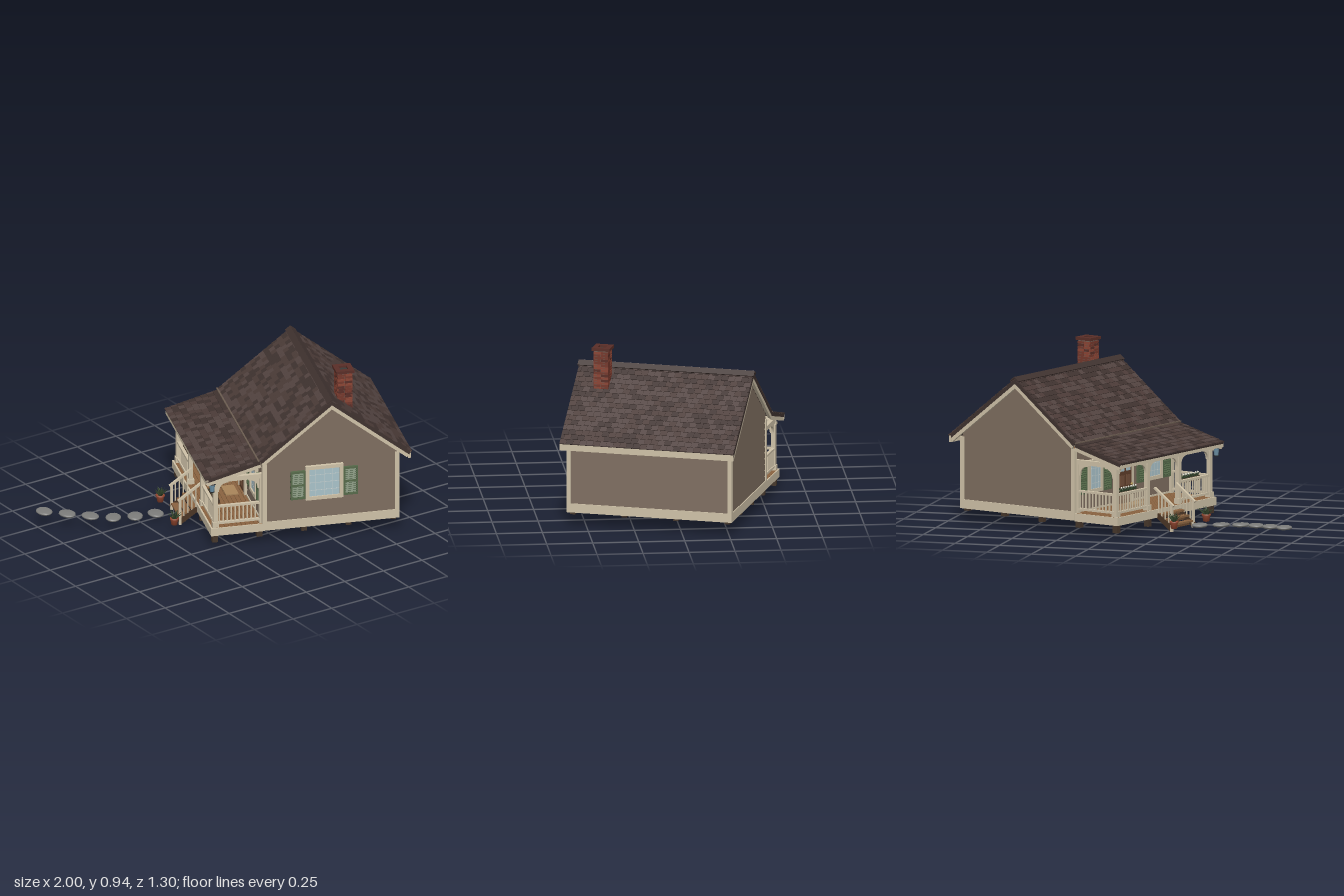
import * as THREE from 'three';
import { mergeGeometries } from 'three/addons/utils/BufferGeometryUtils.js';

const TRIM = 0xcfc2a8, SIDING = 0x7a6a5c, INSIDE = 0xa0714a, WOOD = 0x8a6340, GREEN = 0x566a4a, GLASS = 0xa9c3cb;
const SHINGLES = [0x4b3b37, 0x3f322f, 0x524340];
const BRICKS = [0x8c4535, 0x75382c, 0x5a2e27];
const mats = {};
const mat = c => mats[c] ??= new THREE.MeshStandardMaterial({ color: c });
let seed = 7;
const rand = () => (seed = (seed * 16807) % 2147483647) / 2147483647;

function add(parent, name, geo, color, x = 0, y = 0, z = 0) {
  const m = new THREE.Mesh(geo, mat(color));
  m.name = name;
  m.position.set(x, y, z);
  parent.add(m);
  return m;
}
const box = (p, name, c, w, h, d, x, y, z) => add(p, name, new THREE.BoxGeometry(w, h, d), c, x, y, z);
function group(parent, name, x = 0, y = 0, z = 0, ry = 0) {
  const g = new THREE.Group();
  g.name = name;
  g.position.set(x, y, z);
  g.rotation.y = ry;
  parent.add(g);
  return g;
}
// Sloped or level bar between two points of the parent's space
function bar(p, name, c, a, b, h, t) {
  const A = new THREE.Vector3(...a), B = new THREE.Vector3(...b), d = B.clone().sub(A), L = d.length();
  const m = box(p, name, c, t, h, L, 0, 0, 0);
  m.position.copy(A).lerp(B, 0.5);
  m.rotation.set(-Math.asin(d.y / L), Math.atan2(d.x, d.z), 0, 'YXZ');
  return m;
}

const MID = -0.102, V0 = -0.552, V1 = 0.348, U0 = 0.034, U1 = 0.772, RIDGE = 0.403, PITCH = 0.787;

// One roof slope running from its top edge, with slab, trim boards and staggered shingles
function roofSlope(p, name, u, y, run, drop, W, left) {
  const g = group(p, name, u, y, MID, left ? Math.PI : 0);
  g.rotation.z = -Math.atan2(drop, run);
  const L = Math.hypot(run, drop), n = 26, w = W / n, rows = Math.round(L / 0.033), step = L / rows;
  box(g, 'roofDeck', SHINGLES[1], L, 0.018, W, L / 2, -0.012, 0);
  for (const s of [-1, 1]) box(g, 'rakeBoard', TRIM, L, 0.032, 0.016, L / 2, -0.025, s * (W / 2 - 0.01));
  const sets = [[], [], []];
  for (let i = 0; i < rows; i++) for (let j = 0; j <= n; j++) {
    const off = i % 2 ? 0.5 : 0;
    const a = Math.max(0, j - off) * w, b = Math.min(n, j + 1 - off) * w;
    if (b - a < 0.002) continue;
    const s = new THREE.BoxGeometry(step * 1.12, 0.005, b - a - 0.0012);
    s.rotateZ(0.09);
    s.translate((i + 0.5) * step, 0, (a + b) / 2 - W / 2);
    sets[Math.floor(rand() * 3)].push(s);
  }
  sets.forEach((s, k) => add(g, 'shingles', mergeGeometries(s), SHINGLES[k]));
}

// Framed window facing +z, with muntins and optional louvred shutters
function windowUnit(p, x, y, z, ry, w, h, shutters, frame = TRIM) {
  const g = group(p, 'window', x, y, z, ry), f = 0.02;
  box(g, 'glass', GLASS, w - f, h - f, 0.01, 0, 0, 0);
  for (const s of [-1, 1]) {
    box(g, 'jamb', frame, f, h, 0.025, s * (w - f) / 2, 0, 0);
    box(g, 'rail', frame, w, f, 0.025, 0, s * (h - f) / 2, 0);
    if (!shutters) continue;
    const sh = group(g, 'shutter', s * (w / 2 + 0.042), -0.008, 0);
    box(sh, 'panel', 0x3f573a, 0.07, 0.16, 0.006, 0, 0, 0);
    for (const t of [-1, 1]) {
      box(sh, 'stile', GREEN, 0.01, 0.165, 0.016, t * 0.035, 0, 0);
      box(sh, 'crossRail', GREEN, 0.08, 0.012, 0.016, 0, t * 0.077, 0);
    }
    box(sh, 'crossRail', GREEN, 0.08, 0.012, 0.016, 0, 0, 0);
    for (let i = 0; i < 12; i++) box(sh, 'slat', GREEN, 0.064, 0.009, 0.004, 0, -0.065 + i * 0.0118, 0.004).rotation.x = -0.5;
  }
  for (let i = 1; i < 4; i++) {
    box(g, 'muntin', 0xc3cfcf, 0.003, h - f, 0.012, (i / 4 - 0.5) * (w - f), 0, 0);
    box(g, 'muntin', 0xc3cfcf, w - f, 0.003, 0.012, 0, (i / 4 - 0.5) * (h - f), 0);
  }
}

// Porch railing between two floor points
function railing(p, a, b) {
  const g = group(p, 'railing');
  for (const y of [0.137, 0.235]) bar(g, 'rail', TRIM, [a[0], y, a[1]], [b[0], y, b[1]], 0.012, 0.018);
  const n = Math.round(Math.hypot(b[0] - a[0], b[1] - a[1]) / 0.022);
  for (let i = 1; i < n; i++) {
    const t = i / n;
    box(g, 'baluster', TRIM, 0.007, 0.1, 0.007, a[0] + (b[0] - a[0]) * t, 0.186, a[1] + (b[1] - a[1]) * t);
  }
}

function bracket(p, x, y, z, ry) {
  const s = new THREE.Shape();
  s.moveTo(0, 0);
  s.lineTo(0, -0.06);
  s.lineTo(0.008, -0.06);
  s.quadraticCurveTo(0.01, -0.01, 0.06, -0.008);
  s.lineTo(0.06, 0);
  const geo = new THREE.ExtrudeGeometry(s, { depth: 0.012, bevelEnabled: false });
  geo.translate(0, 0, -0.006);
  add(p, 'bracket', geo, TRIM, x, y, z).rotation.y = ry;
}

// Tuft of tapering leaves
function leaves(p, x, y, z, n, len, color) {
  const set = [];
  for (let i = 0; i < n; i++) {
    const c = new THREE.ConeGeometry(0.006, len * (0.75 + rand() * 0.4), 4);
    c.translate(0, len / 2, 0);
    c.rotateZ(0.15 + rand() * 0.8);
    c.rotateY(i * 2.4);
    set.push(c);
  }
  add(p, 'leaves', mergeGeometries(set), color, x, y, z);
}

function buildWalls(h) {
  const s = new THREE.Shape();
  [[U0, 0.08], [U1, 0.08], [U1, 0.485], [RIDGE, 0.775], [U0, 0.485]].forEach((q, i) => i ? s.lineTo(...q) : s.moveTo(...q));
  const gable = new THREE.ExtrudeGeometry(s, { depth: 0.015, bevelEnabled: false });
  const W = U1 - U0, D = V1 - V0;
  for (const [z, sg] of [[V1, 1], [V0, -1]]) {
    add(h, 'gableWall', gable, INSIDE, 0, 0, sg > 0 ? z - 0.015 : z);
    box(h, 'skirtBoard', TRIM, W + 0.024, 0.05, 0.014, RIDGE, 0.1, z + sg * 0.005);
    for (let y = 0.14; y < 0.77; y += 0.033) {
      const hw = Math.min(W / 2, (0.79 - y) / PITCH);
      box(h, 'clapboard', SIDING, hw * 2, 0.036, 0.005, RIDGE, y, z + sg * 0.003).rotation.x = -sg * 0.08;
    }
    for (const x of [U0, U1]) box(h, 'cornerBoard', TRIM, 0.024, 0.385, 0.024, x, 0.275, z);
  }
  for (const [x, sg] of [[U1, 1], [U0, -1]]) {
    box(h, 'sideWall', INSIDE, 0.015, 0.4, D, x - sg * 0.0075, 0.28, MID);
    box(h, 'skirtBoard', TRIM, 0.014, 0.05, D, x + sg * 0.005, 0.1, MID);
    for (let y = 0.14; y < 0.47; y += 0.033)
      box(h, 'clapboard', SIDING, 0.005, 0.036, D, x + sg * 0.003, y, MID).rotation.z = sg * 0.08;
  }
  box(h, 'ceiling', 0x9a8d7c, W - 0.03, 0.008, D - 0.03, RIDGE, 0.474, MID);
  windowUnit(h, 0.365, 0.335, V1 + 0.012, 0, 0.21, 0.2, true);
  windowUnit(h, 0.365, 0.335, V1 - 0.02, Math.PI, 0.21, 0.2, false, WOOD);
  for (const z of [0.17, -0.38]) {
    windowUnit(h, U0 - 0.012, 0.3, z, -Math.PI / 2, 0.14, 0.18, true);
    windowUnit(h, U0 + 0.02, 0.3, z, Math.PI / 2, 0.14, 0.18, false, WOOD);
  }
  // Panelled door, seen on both sides of the wall
  const d = group(h, 'door', U0 + 0.004, 0.235, MID, -Math.PI / 2);
  box(d, 'doorLeaf', 0x5e3d29, 0.12, 0.24, 0.042, 0, 0, 0);
  for (const s of [-1, 1]) {
    box(d, 'doorJamb', TRIM, 0.018, 0.26, 0.05, s * 0.068, 0.005, 0);
    box(d, 'doorGlass', GLASS, 0.038, 0.05, 0.046, s * 0.027, 0.08, 0);
    for (const y of [0.005, -0.07]) box(d, 'doorPanel', 0x74503a, 0.038, 0.055, 0.047, s * 0.027, y, 0);
  }
  box(d, 'doorHead', TRIM, 0.155, 0.018, 0.05, 0, 0.13, 0);
  add(d, 'knob', new THREE.SphereGeometry(0.007, 10, 8), 0xb59a55, 0.052, -0.02, 0.028);
}

function buildRoof(h) {
  roofSlope(h, 'mainRoofRight', RIDGE, 0.82, 0.442, 0.348, 0.972, false);
  roofSlope(h, 'mainRoofLeft', RIDGE, 0.82, 0.403, 0.317, 0.972, true);
  roofSlope(h, 'porchRoof', 0.002, 0.5, 0.3, 0.082, 0.955, true);
  box(h, 'flashing', 0x6b5c50, 0.012, 0.006, 0.972, -0.004, 0.504, MID);
  box(h, 'eaveFascia', TRIM, 0.016, 0.036, 0.972, 0.835, 0.453, MID);
  box(h, 'porchFascia', TRIM, 0.014, 0.026, 0.955, -0.288, 0.402, MID);
  for (const s of [-1, 1]) box(h, 'ridgeCap', SHINGLES[1], 0.036, 0.007, 0.985, RIDGE + s * 0.013, 0.818, MID).rotation.z = -s * 0.66;
  // Brick chimney with laid courses, cap and flue
  const c = group(h, 'chimney', 0.502, 0, 0.23), sets = [[], [], []];
  box(c, 'core', 0x6b5a50, 0.077, 0.28, 0.077, 0, 0.78, 0);
  for (let i = 0; i < 20; i++) for (let f = 0; f < 4; f++) for (let j = 0; j < 2; j++) {
    const b = new THREE.BoxGeometry(0.039, 0.0125, 0.006);
    b.translate((j - 0.5) * 0.041 + (i % 2 ? 0.001 : -0.001), 0.645 + i * 0.014, 0.038);
    b.rotateY(f * Math.PI / 2);
    sets[Math.floor(rand() * 2.4)].push(b);
  }
  sets.forEach((s, k) => add(c, 'bricks', mergeGeometries(s), BRICKS[k]));
  for (const s of [-1, 1]) {
    box(c, 'cap', BRICKS[2], 0.1, 0.016, 0.028, 0, 0.932, s * 0.036);
    box(c, 'cap', BRICKS[2], 0.028, 0.016, 0.044, s * 0.036, 0.932, 0);
  }
  box(c, 'flue', 0x3a3a38, 0.05, 0.01, 0.05, 0, 0.924, 0);
}

function buildPorch(h) {
  const p = group(h, 'porch'), U = -0.234, posts = [0.33, 0.042, -0.246, -0.534];
  box(p, 'underDeck', 0x2b241d, 0.28, 0.03, 0.89, -0.112, 0.09, MID);
  for (let i = 0; i < 12; i++) box(p, 'deckBoard', WOOD, 0.0215, 0.01, 0.9, -0.242 + i * 0.0235, 0.111, MID);
  box(p, 'deckFascia', TRIM, 0.014, 0.045, 0.914, -0.255, 0.093, MID);
  for (const z of [V0, V1]) box(p, 'deckFascia', TRIM, 0.28, 0.045, 0.014, -0.115, 0.093, z);
  box(p, 'doorMat', 0xa9855a, 0.07, 0.006, 0.12, -0.05, 0.119, MID);
  box(p, 'beam', TRIM, 0.028, 0.026, 0.89, U, 0.394, MID);
  posts.forEach((z, i) => {
    box(p, 'post', TRIM, 0.024, 0.275, 0.024, U, 0.25, z);
    box(p, 'postBase', TRIM, 0.034, 0.03, 0.034, U, 0.13, z);
    box(p, 'postCap', TRIM, 0.034, 0.012, 0.034, U, 0.376, z);
    if (i < 3) bracket(p, U, 0.382, z - 0.012, Math.PI / 2);
    if (i > 0) bracket(p, U, 0.382, z + 0.012, -Math.PI / 2);
  });
  for (const z of [posts[0], posts[3]]) {
    box(p, 'endBeam', TRIM, 0.26, 0.026, 0.024, -0.1, 0.394, z);
    box(p, 'wallPost', TRIM, 0.018, 0.275, 0.024, 0.018, 0.25, z);
    bracket(p, U + 0.012, 0.382, z, 0);
    bracket(p, 0.009, 0.382, z, Math.PI);
    railing(p, [U, z], [0.01, z]);
  }
  for (const i of [0, 2]) {
    railing(p, [U, posts[i]], [U, posts[i + 1]]);
    // Planter on the rail
    const z = (posts[i] + posts[i + 1]) / 2;
    box(p, 'flowerBox', 0x4a3a2c, 0.03, 0.022, 0.16, U + 0.026, 0.23, z);
    for (let k = -3; k <= 3; k++) {
      leaves(p, U + 0.026, 0.238, z + k * 0.022, 6, 0.028, 0x33452c);
      add(p, 'flower', new THREE.IcosahedronGeometry(0.006, 0), 0xd8d8cc, U + 0.02, 0.262, z + k * 0.022);
    }
  }
  // Steps with handrails
  const st = group(p, 'steps', 0, 0, -0.085);
  for (let i = 0; i < 3; i++) {
    box(st, 'tread', WOOD, 0.036, 0.01, 0.2, -0.278 - i * 0.031, 0.088 - i * 0.026, 0);
    box(st, 'riser', 0x6b4a30, 0.006, 0.02, 0.19, -0.264 - i * 0.031, 0.074 - i * 0.026, 0);
  }
  for (const s of [-1, 1]) {
    const z = s * 0.1;
    bar(st, 'stringer', 0x4a3524, [-0.258, 0.085, z], [-0.358, 0.014, z], 0.028, 0.012);
    box(st, 'newel', TRIM, 0.014, 0.145, 0.014, -0.354, 0.0725, z);
    bar(st, 'handrail', TRIM, [-0.24, 0.232, z], [-0.366, 0.14, z], 0.011, 0.016);
    for (let i = 0; i < 4; i++) box(st, 'baluster', TRIM, 0.006, 0.135, 0.006, -0.267 - i * 0.022, 0.145 - i * 0.0155, z);
  }
  // Hanging lantern at the corner
  const l = group(p, 'lantern', -0.258, 0.363, 0.36);
  add(l, 'lanternGlass', new THREE.CylinderGeometry(0.016, 0.012, 0.042, 6), 0x6f93a8);
  add(l, 'lanternTop', new THREE.ConeGeometry(0.021, 0.016, 6), 0x26282a, 0, 0.028, 0);
  add(l, 'lanternBase', new THREE.CylinderGeometry(0.014, 0.014, 0.005, 6), 0x26282a, 0, -0.023, 0);
  box(l, 'lanternHook', 0x26282a, 0.004, 0.03, 0.004, 0, 0.045, 0);
}

export function createModel() {
  const root = new THREE.Group();
  root.name = 'cottage';
  const h = group(root, 'house', 0, 0, 0, -Math.PI / 9);
  buildWalls(h);
  buildRoof(h);
  buildPorch(h);

  // Foundation piers around the edge
  for (const u of [-0.238, 0.01, 0.258, 0.506, 0.754]) for (const v of [0.33, 0.042, -0.246, -0.534]) {
    if (u > 0 && u < 0.7 && Math.abs(v - MID) < 0.2) continue;
    const low = 0.028 + 0.034 * (u + 0.24);
    box(h, 'pier', 0x46372b, 0.03, 0.085 - low, 0.03, u, (0.085 + low) / 2, v);
  }
  // Potted plants beside the steps
  const pot = [[0, 0], [0.016, 0], [0.022, 0.032], [0.025, 0.032], [0.025, 0.04], [0.02, 0.04], [0.019, 0.034], [0, 0.034]].map(q => new THREE.Vector2(...q));
  for (const [x, z] of [[-0.4, -0.07], [-0.3, -0.36]]) {
    const g = group(root, 'pottedPlant', x, 0.03, z);
    add(g, 'pot', new THREE.LatheGeometry(pot, 16), 0x9a4a32);
    leaves(g, 0, 0.032, 0, 18, 0.058, 0x34472c);
  }
  // Rounded stepping stones
  const stone = [[0, -0.008], [0.036, -0.008], [0.042, -0.002], [0.042, 0.003], [0.036, 0.008], [0, 0.009]].map(q => new THREE.Vector2(...q));
  [[-0.96, -0.5], [-0.86, -0.425], [-0.76, -0.35], [-0.655, -0.283], [-0.535, -0.25], [-0.41, -0.238]].forEach(([x, z], i) => {
    const s = add(root, 'steppingStone', new THREE.LatheGeometry(stone, 14), 0x7d7d7b, x, 0.084 - i * 0.01, z);
    s.scale.z = 1.22;
    s.rotation.y = [0, 0.2, 0.3, -0.7, -0.6, -0.1][i];
  });
  return root;
}
